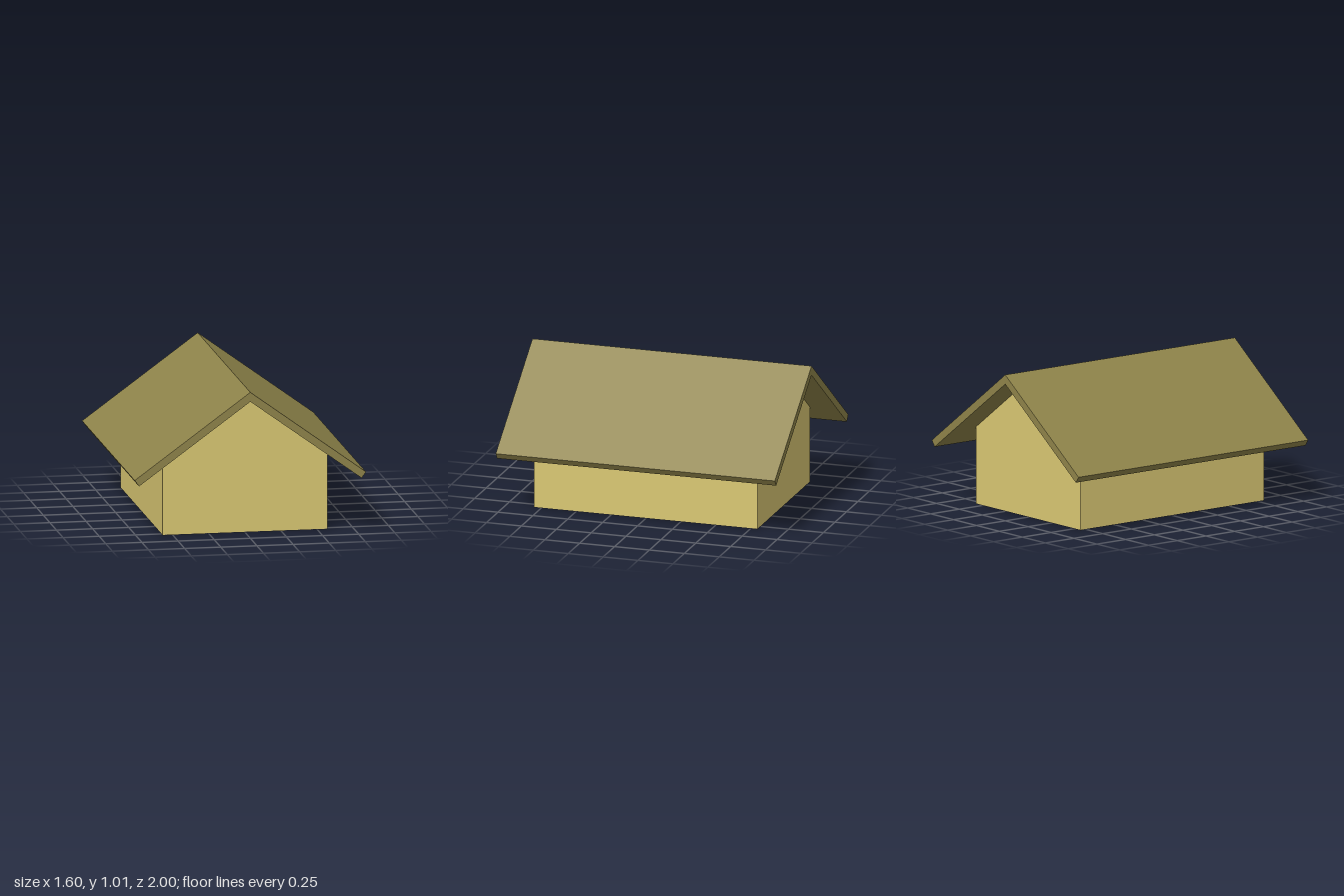
import * as THREE from 'three';

// Extrude an x-y outline along z, centred on z = 0
function prism(name, points, depth, color) {
  const shape = new THREE.Shape(points.map(([x, y]) => new THREE.Vector2(x, y)));
  const geometry = new THREE.ExtrudeGeometry(shape, { depth, bevelEnabled: false });
  geometry.translate(0, 0, -depth / 2);
  const mesh = new THREE.Mesh(geometry, new THREE.MeshStandardMaterial({ color, flatShading: true }));
  mesh.name = name;
  return mesh;
}

export function createModel() {
  const model = new THREE.Group();
  model.name = 'house';

  const halfWidth = 0.57, wallTop = 0.535, ridgeUnder = 0.95, ridgeTop = 1.015;
  const floorThickness = 0.004;

  // Gabled body
  model.add(prism('walls', [
    [-halfWidth, floorThickness], [halfWidth, floorThickness],
    [halfWidth, wallTop], [0, ridgeUnder], [-halfWidth, wallTop],
  ], 1.6, 0xdac873));

  // Thin dark floor under the body
  const floor = new THREE.Mesh(
    new THREE.BoxGeometry(halfWidth * 2, floorThickness, 1.6),
    new THREE.MeshStandardMaterial({ color: 0x606060 }));
  floor.name = 'floor';
  floor.position.y = floorThickness / 2;
  model.add(floor);

  // Overhanging roof slopes, mitred at the ridge
  for (const [name, s] of [['roofLeft', 1], ['roofRight', -1]]) {
    model.add(prism(name, [
      [0, ridgeUnder], [s * 0.77, 0.39], [s * 0.8, 0.432], [0, ridgeTop],
    ], 2, 0x8f844a));
  }

  return model;
}
